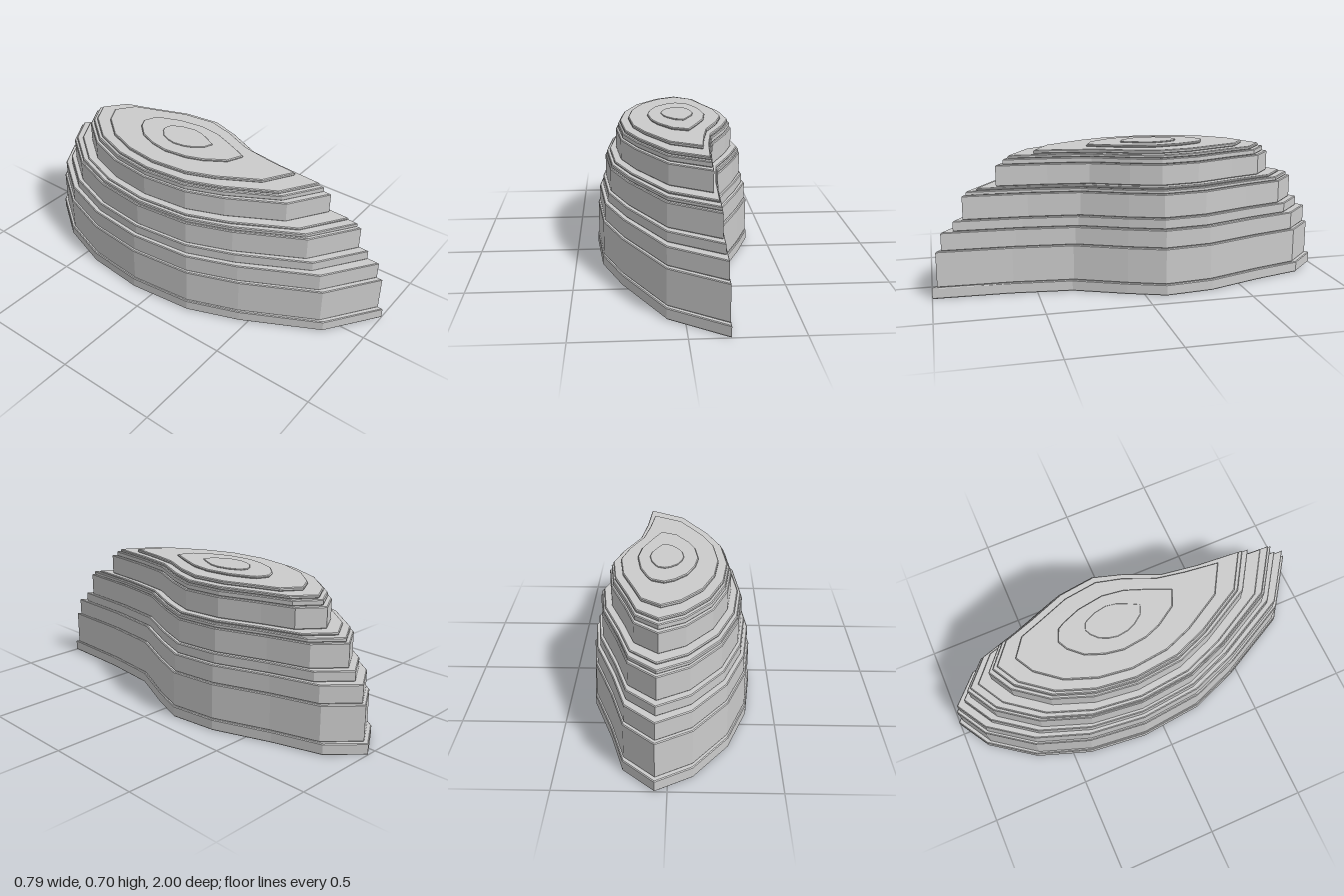
import * as THREE from 'three';

// Footprint of the lowest terrace, [x, z], tip at the front
const LOW = [
  [0.055, -1], [0.2, -0.86], [0.27, -0.62], [0.37, -0.34], [0.397, -0.1], [0.33, 0.08],
  [0.22, 0.33], [0.19, 0.63], [0.18, 1], [-0.08, 0.82], [-0.27, 0.46], [-0.365, 0.21],
  [-0.397, -0.11], [-0.365, -0.41], [-0.27, -0.68], [-0.11, -0.9],
];
// Rounder footprint near the summit, matching point for point
const HIGH = [
  [0.03, -0.38], [0.09, -0.355], [0.11, -0.32], [0.145, -0.23], [0.165, -0.1], [0.15, 0.01],
  [0.115, 0.1], [0.09, 0.16], [0.06, 0.225], [-0.02, 0.19], [-0.085, 0.09], [-0.115, 0.01],
  [-0.13, -0.11], [-0.115, -0.2], [-0.08, -0.29], [-0.02, -0.355],
];

// Terraces: top height, x range, z range, blend towards the round footprint
const TERRACES = [
  [0.055, -0.397, 0.397, -1, 1, 0],
  [0.232, -0.39, 0.39, -0.975, 0.975, 0],
  [0.322, -0.38, 0.38, -0.955, 0.947, 0],
  [0.373, -0.362, 0.364, -0.908, 0.888, 0.03],
  [0.49, -0.347, 0.35, -0.868, 0.84, 0.06],
  [0.51, -0.34, 0.345, -0.848, 0.82, 0.08],
  [0.522, -0.325, 0.335, -0.805, 0.772, 0.1],
  [0.625, -0.291, 0.302, -0.735, 0.677, 0.15],
  [0.652, -0.28, 0.293, -0.71, 0.64, 0.18],
  [0.668, -0.27, 0.284, -0.685, 0.615, 0.2],
  [0.685, -0.227, 0.247, -0.592, 0.492, 0.35],
  [0.697, -0.13, 0.165, -0.38, 0.225, 1],
  [0.703, -0.06, 0.105, -0.24, 0.05, 1],
];

// Scale a footprint to the unit square
function normalise(points) {
  const axis = (i) => {
    const v = points.map((p) => p[i]);
    const lo = Math.min(...v), hi = Math.max(...v);
    return v.map((n) => (n - lo) / (hi - lo));
  };
  const xs = axis(0), zs = axis(1);
  return xs.map((x, i) => [x, zs[i]]);
}

export function createModel() {
  const group = new THREE.Group();
  group.name = 'terracedHill';
  const material = new THREE.MeshStandardMaterial({ color: 0xcccccc, flatShading: true });
  const low = normalise(LOW), high = normalise(HIGH);
  const lerp = THREE.MathUtils.lerp;

  let bottom = 0;
  TERRACES.forEach(([top, x0, x1, z0, z1, round], n) => {
    const outline = low.map(([u, v], i) => new THREE.Vector2(
      lerp(x0, x1, lerp(u, high[i][0], round)),
      -lerp(z0, z1, lerp(v, high[i][1], round)),
    ));
    // Thin chamfer along the rims
    const height = top - bottom;
    const bevel = Math.min(0.004, height * 0.35);
    const geometry = new THREE.ExtrudeGeometry(new THREE.Shape(outline), {
      depth: height - 2 * bevel,
      bevelThickness: bevel,
      bevelSize: bevel,
      bevelOffset: -bevel,
      bevelSegments: 1,
    });
    geometry.rotateX(-Math.PI / 2);
    geometry.translate(0, bottom + bevel, 0);
    const mesh = new THREE.Mesh(geometry, material);
    mesh.name = `terrace${n + 1}`;
    group.add(mesh);
    bottom = top;
  });
  return group;
}
